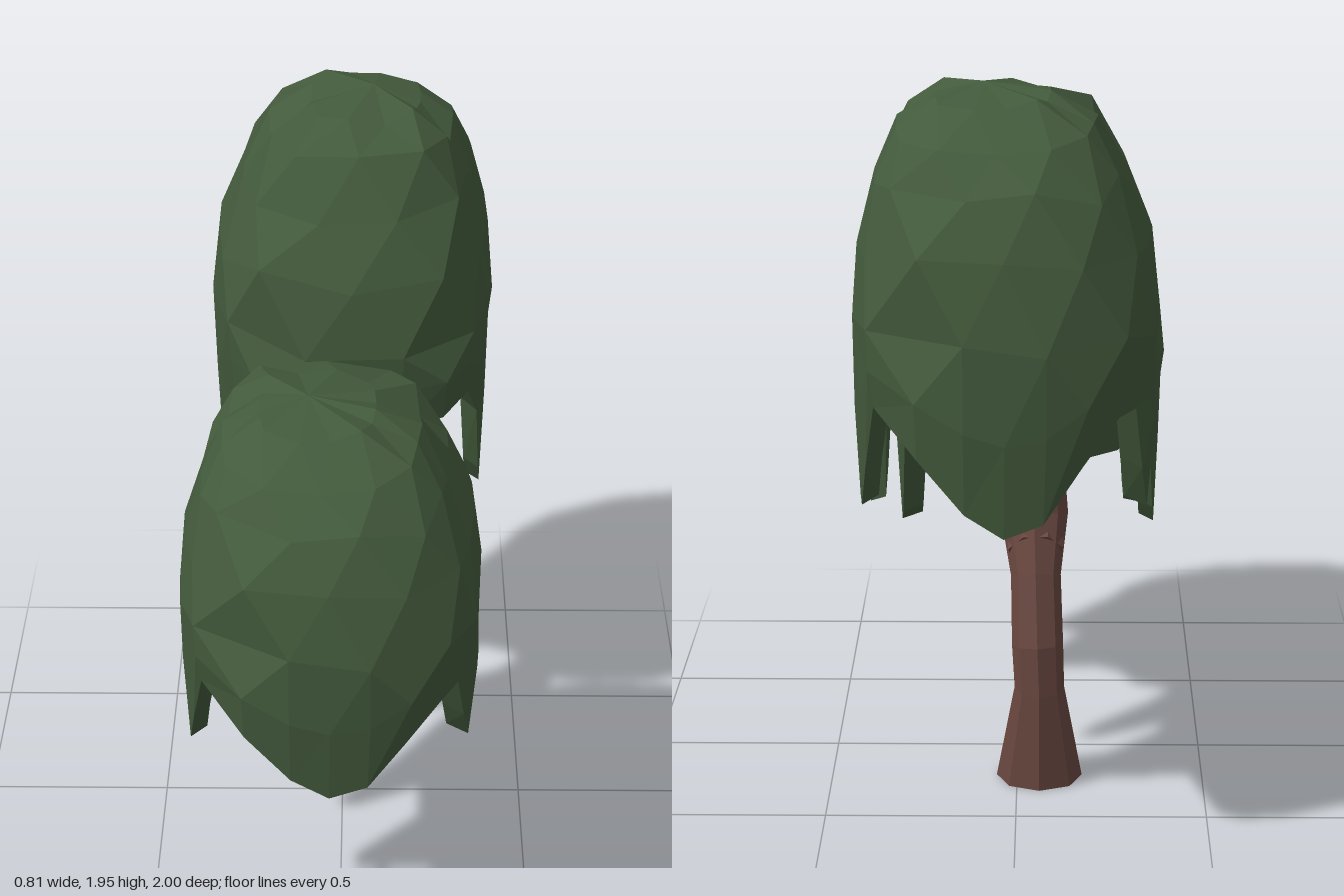
import * as THREE from 'three';

const leafGreen = new THREE.MeshStandardMaterial({ color: 0x435a3c, flatShading: true });
leafGreen.name = 'leafGreen';
const barkBrown = new THREE.MeshStandardMaterial({ color: 0x6a4840, flatShading: true });
barkBrown.name = 'barkBrown';

function seeded(seed) {
  return () => {
    seed = (seed * 16807) % 2147483647;
    return seed / 2147483647 - 0.5;
  };
}

// Join rings of points (ordered top to bottom, counter-clockwise from above), skipping collapsed faces
function skin(rings) {
  const pos = [];
  const tri = (a, b, c) => {
    if (a.distanceTo(b) < 1e-5 || b.distanceTo(c) < 1e-5 || a.distanceTo(c) < 1e-5) return;
    for (const p of [a, b, c]) pos.push(p.x, p.y, p.z);
  };
  for (let r = 0; r < rings.length - 1; r++) {
    const up = rings[r], low = rings[r + 1], n = up.length;
    for (let i = 0; i < n; i++) {
      const k = (i + 1) % n;
      if ((i + r) % 3) {
        tri(up[i], low[i], up[k]);
        tri(up[k], low[i], low[k]);
      } else {
        tri(up[i], low[i], low[k]);
        tri(up[i], low[k], up[k]);
      }
    }
  }
  const g = new THREE.BufferGeometry();
  g.setAttribute('position', new THREE.Float32BufferAttribute(pos, 3));
  g.computeVertexNormals();
  return g;
}

// Ragged hem of a canopy: x, z and the height it hangs down to
const HEM = [
  [0, .51, .63], [.1, .505, .66], [.2, .485, .78], [.29, .43, .87],
  [.335, .34, .87], [.355, .25, .72], [.37, .18, .62], [.375, .13, .65],
  [.38, .03, .78], [.38, -.07, .6], [.375, -.14, .545], [.37, -.19, .58],
  [.36, -.28, .8], [.33, -.37, .87], [.26, -.46, .84], [.12, -.505, .82],
  [0, -.515, .85], [-.14, -.5, .82], [-.26, -.46, .84], [-.33, -.37, .87],
  [-.36, -.27, .78], [-.37, -.2, .6], [-.375, -.15, .545], [-.383, -.09, .9],
  [-.385, .0, .9], [-.385, .1, .9], [-.382, .16, .64], [-.375, .22, .63],
  [-.362, .27, .72], [-.335, .34, .87], [-.22, .48, .79], [-.1, .505, .68],
];

function canopyGeometry() {
  const rnd = seeded(77);
  const at = (p, f, y) => new THREE.Vector3(p[0] * f - 0.06 * (1 - f), y, p[1] * f);
  const rings = [];

  // Outer dome, with points merged in pairs for broad facets
  const dome = [[1.5, 0], [1.475, .38], [1.42, .64], [1.32, .81], [1.18, .94], [1.03, 1]];
  dome.forEach(([y, f], r) => {
    const ring = [];
    const n = HEM.length;
    for (let i = 0; i < n; i += 2) {
      const j = (i + (r % 2)) % n;
      const p = at(HEM[j], f, y);
      if (f > 0) {
        p.x *= 1 + rnd() * 0.05;
        p.z *= 1 + rnd() * 0.04;
        p.y += rnd() * 0.05 * (f < .5 ? .5 : 1);
      }
      ring[j] = p;
      ring[(j + 1) % n] = p;
    }
    rings.push(ring);
  });

  // Hanging skirt
  rings.push(HEM.map(p => at(p, .985 + rnd() * .02, 1.03 + (p[2] - 1.03) * .5)));
  rings.push(HEM.map(p => at(p, .95, p[2])));

  // Thick lower edge, inner wall and low ceiling
  rings.push(HEM.map(p => at(p, .82, p[2] + .015)));
  rings.push(HEM.map(p => at(p, .77, .94)));
  rings.push(HEM.map(p => at(p, 0, 1.02)));
  return skin(rings);
}

// Tapered limb through stations [x, y, z, radius], listed from the root outwards
function limb(name, stations, sides = 7) {
  const pts = stations.map(s => new THREE.Vector3(s[0], s[1], s[2]));
  const up = new THREE.Vector3(0, 1, 0);
  const rings = pts.map((p, i) => {
    const dir = pts[Math.min(i + 1, pts.length - 1)].clone().sub(pts[Math.max(i - 1, 0)]).normalize();
    if (stations[i][1] === 0) dir.copy(up);
    const q = new THREE.Quaternion().setFromUnitVectors(up, dir);
    return Array.from({ length: sides }, (_, k) => {
      const a = (k / sides) * Math.PI * 2;
      return new THREE.Vector3(Math.sin(a), 0, Math.cos(a))
        .multiplyScalar(stations[i][3]).applyQuaternion(q).add(p);
    });
  });
  // End caps
  rings.unshift(Array(sides).fill(pts[0]));
  rings.push(Array(sides).fill(pts[pts.length - 1]));
  const mesh = new THREE.Mesh(skin(rings.reverse()), barkBrown);
  mesh.name = name;
  return mesh;
}

export function createModel() {
  const model = new THREE.Group();
  model.name = 'tree';

  // Bent trunk and its branches
  const wood = new THREE.Group();
  wood.name = 'wood';
  wood.add(
    limb('trunk', [
      [-.06, 0, -.215, .115], [-.06, .28, -.28, .066], [-.055, .4, -.28, .068],
      [-.05, .58, -.24, .066], [-.045, .73, -.17, .09], [-.04, .86, -.165, .085],
      [-.03, 1.04, -.25, .06], [.0, 1.14, -.31, .052], [.02, 1.3, -.37, .042],
    ], 8),
    limb('rearBranch', [
      [-.02, 1.0, -.24, .055], [-.01, 1.13, -.38, .055], [-.02, 1.3, -.56, .045],
    ]),
    limb('frontBranch', [
      [-.05, .64, -.23, .075], [-.045, .74, -.09, .08], [-.06, .755, .06, .05],
      [-.09, .8, .2, .042], [-.12, .84, .4, .03],
    ]),
    limb('frontSideBranch', [
      [-.045, .75, -.04, .045], [-.01, .8, .06, .036], [.03, .86, .15, .03], [.05, .98, .2, .022],
    ]),
  );
  model.add(wood);

  // Two canopies: the rear one is turned about and taller
  const leaves = canopyGeometry();
  const front = new THREE.Mesh(leaves, leafGreen);
  front.name = 'frontCanopy';
  front.position.set(-.02, 0, .487);
  const rear = new THREE.Mesh(leaves, leafGreen);
  rear.name = 'rearCanopy';
  rear.rotation.y = Math.PI;
  rear.scale.y = 1.18;
  rear.position.set(.02, .175, -.487);
  model.add(front, rear);

  return model;
}
